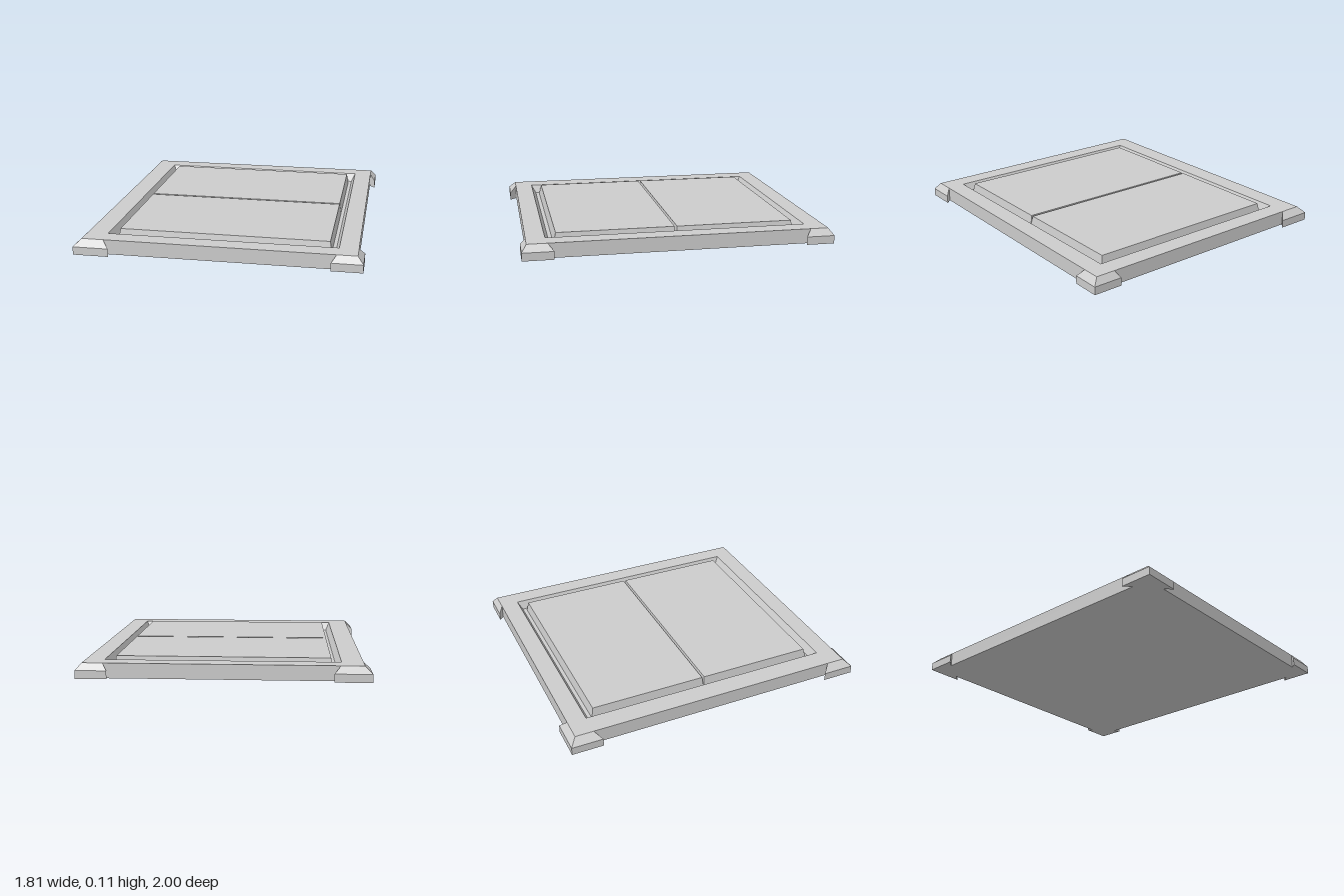
import * as THREE from 'three';

const material = new THREE.MeshStandardMaterial({ color: 0xcccccc, flatShading: true });

// Skin between rings of [x, y, z] points (anticlockwise seen from above), with fan caps.
function loft(name, rings, capTop = true) {
  const pos = [];
  const tri = (a, b, c) => pos.push(...a, ...b, ...c);
  const n = rings[0].length;
  for (let r = 0; r < rings.length - 1; r++) {
    const lo = rings[r], hi = rings[r + 1];
    for (let i = 0; i < n; i++) {
      const j = (i + 1) % n;
      tri(lo[i], lo[j], hi[j]);
      tri(lo[i], hi[j], hi[i]);
    }
  }
  const last = rings[rings.length - 1];
  for (let i = 1; i < n - 1; i++) {
    tri(rings[0][0], rings[0][i + 1], rings[0][i]);
    if (capTop) tri(last[0], last[i], last[i + 1]);
  }
  const geometry = new THREE.BufferGeometry();
  geometry.setAttribute('position', new THREE.Float32BufferAttribute(pos, 3));
  geometry.computeVertexNormals();
  const mesh = new THREE.Mesh(geometry, material);
  mesh.name = name;
  return mesh;
}

const rect = (x0, x1, z0, z1, y) => [[x0, y, z1], [x1, y, z1], [x1, y, z0], [x0, y, z0]];

const SLAB = { x: [-0.86, 0.865], z: [-0.96, 0.955] };
const TOP = 0.095, FLOOR = 0.04, LIP = 0.052;

// L-shaped guard around a slab corner: upright foot, sloped top, mitred ends
function cornerGuard(name, cx, cz, ox, oz, endX, endZ) {
  const sx = Math.sign(ox), sz = Math.sign(oz);
  const inX = endX + sx * Math.abs(oz - cz);
  const inZ = endZ + sz * Math.abs(ox - cx);
  const outline = [[ox, oz], [ox, endZ], [cx, inZ], [cx, cz], [inX, cz], [endX, oz]];
  const ridge = [[cx, cz], [cx, inZ], [cx, inZ], [cx, cz], [inX, cz], [inX, cz]];
  const ring = (pts, y) => {
    const out = pts.map(([x, z]) => [x, y, z]);
    return sx * sz > 0 ? out : [out[0], ...out.slice(1).reverse()];
  };
  return loft(name, [ring(outline, 0), ring(outline, LIP), ring(ridge, TOP)], false);
}

export function createModel() {
  const model = new THREE.Group();
  model.name = 'hatch';

  // Slab with a sloping-sided recess
  model.add(loft('frame', [
    rect(...SLAB.x, ...SLAB.z, 0),
    rect(...SLAB.x, ...SLAB.z, TOP),
    rect(-0.725, 0.745, -0.84, 0.835, TOP),
    rect(-0.70, 0.72, -0.81, 0.805, FLOOR),
  ]));

  // Two raised panels with a narrow gap between them
  for (const [name, z0, z1] of [['backPanel', -0.785, -0.002], ['frontPanel', -0.002, 0.78]]) {
    const back = name === 'backPanel';
    model.add(loft(name, [
      rect(-0.677, 0.697, z0, z1, FLOOR),
      rect(-0.665, 0.685, z0 + (back ? 0.012 : 0.008), z1 - (back ? 0.008 : 0.015), 0.107),
    ]));
  }

  // Corner guards
  const { x: [xl, xr], z: [zb, zf] } = SLAB;
  model.add(
    cornerGuard('backRightGuard', xl, zb, -0.905, -1.0, -0.675, -0.795),
    cornerGuard('frontRightGuard', xl, zf, -0.905, 1.0, -0.675, 0.79),
    cornerGuard('backLeftGuard', xr, zb, 0.902, -0.99, 0.707, -0.807),
    cornerGuard('frontLeftGuard', xr, zf, 0.902, 0.987, 0.707, 0.79),
  );
  return model;
}
